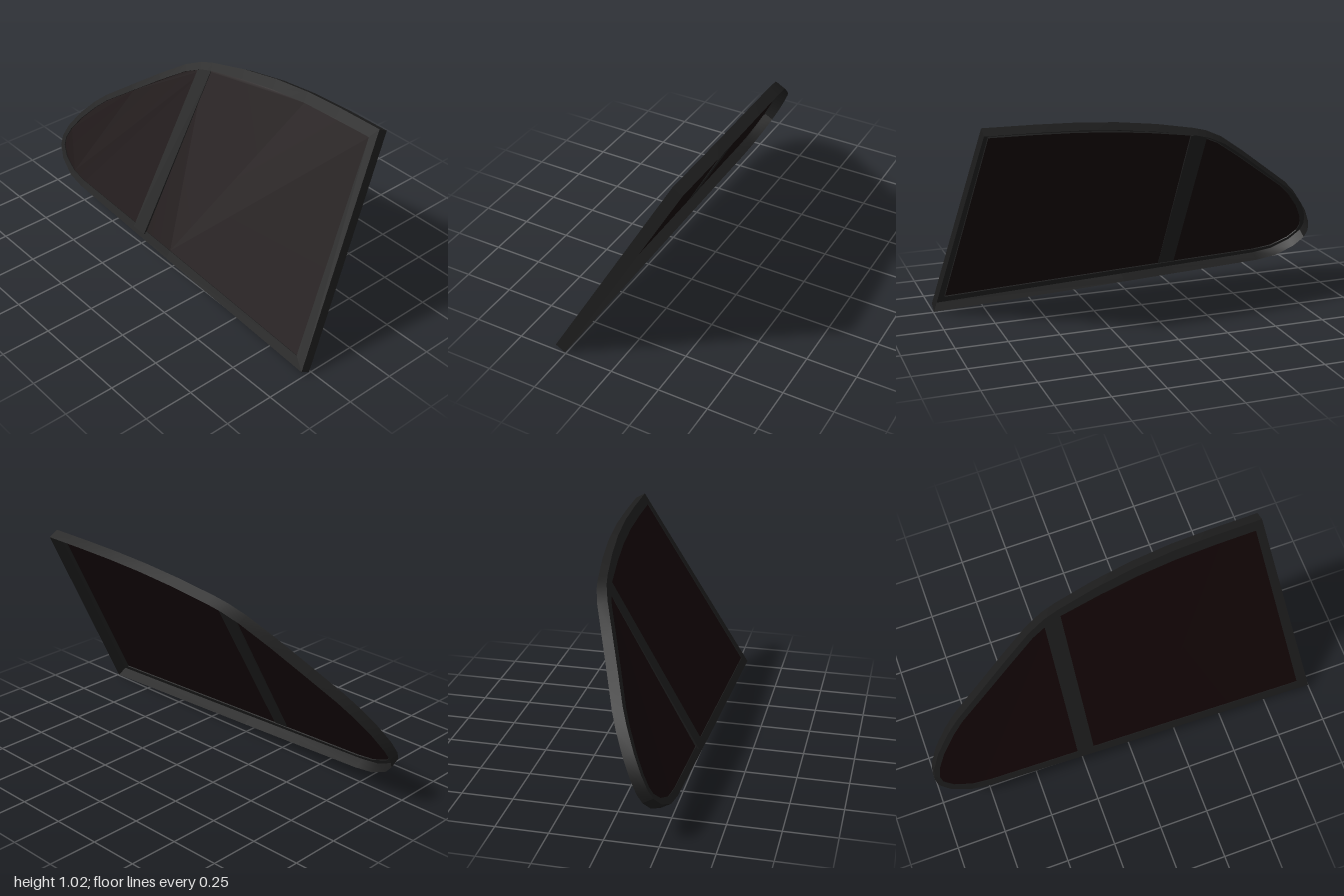
import * as THREE from 'three';
import { toCreasedNormals } from 'three/addons/utils/BufferGeometryUtils.js';

// Frame outline in the window plane: outer x, outer height, inner x, inner height
const OUTLINE = [
  [0.99, 0, 0.93, 0.05], [0.84, 1.139, 0.805, 1.085], [0.6, 1.136, 0.6, 1.082], [0.4, 1.128, 0.4, 1.074],
  [0.2, 1.108, 0.2, 1.055], [0, 1.073, 0.01, 1.025], [-0.2, 1.024, -0.19, 0.985],
  [-0.27, 1.0, -0.255, 0.965], [-0.36, 0.95, -0.345, 0.917], [-0.5, 0.84, -0.48, 0.812],
  [-0.65, 0.715, -0.63, 0.69], [-0.8, 0.59, -0.78, 0.568], [-0.865, 0.522, -0.842, 0.502],
  [-0.94, 0.42, -0.913, 0.407], [-0.985, 0.33, -0.957, 0.325], [-1, 0.265, -0.972, 0.265],
  [-0.99, 0.215, -0.963, 0.225], [-0.94, 0.157, -0.918, 0.178], [-0.845, 0.105, -0.83, 0.136],
  [-0.74, 0.087, -0.73, 0.122], [0, 0.047, 0, 0.092],
];
const HALF = 0.028;
const SPLIT = -0.235;

// The rim bulges forward, quickly near bottom and top and evenly between
const bow = (v) => 0.028 * (1 - (2 * v / 1.139 - 1) ** 4);

function buildGeometry(positions, index) {
  const g = new THREE.BufferGeometry();
  g.setAttribute('position', new THREE.Float32BufferAttribute(positions, 3));
  g.setIndex(index);
  return g;
}

// Open section carried around the outline: outer wall, front flange, short inner lip
function frameGeometry() {
  const positions = [], index = [], n = OUTLINE.length;
  OUTLINE.forEach(([x, v, ix, iv], i) => {
    const b = bow(v), j = (i + 1) % n;
    positions.push(x, v, b - HALF, x, v, b + HALF, ix, iv, b + HALF, ix, iv, b + HALF - 0.01);
    for (let k = 0; k < 3; k++) {
      index.push(i * 4 + k, j * 4 + k, j * 4 + k + 1, i * 4 + k, j * 4 + k + 1, i * 4 + k + 1);
    }
  });
  return toCreasedNormals(buildGeometry(positions, index), 0.5);
}

// One pane: inner outline on one side of the divider (side = 1 towards +x, -1 towards -x)
function paneGeometry(side) {
  const points = [], n = OUTLINE.length;
  const push = (x, v, rimV) => points.push([x, v, bow(rimV) + HALF - 0.004]);
  for (let i = 0; i < n; i++) {
    const [, rimV, x, v] = OUTLINE[i], [, rimV2, x2, v2] = OUTLINE[(i + 1) % n];
    if ((x - SPLIT) * side > 0) push(x, v, rimV);
    if ((x - SPLIT) * (x2 - SPLIT) < 0) {
      const t = (SPLIT - x) / (x2 - x);
      push(SPLIT, v + (v2 - v) * t, rimV + (rimV2 - rimV) * t);
    }
  }
  const outline = points.map(([x, v]) => new THREE.Vector2(x, v));
  const g = buildGeometry(points.flat(), THREE.ShapeUtils.triangulateShape(outline, []).flat());
  g.computeVertexNormals();
  return g;
}

export function createModel() {
  const group = new THREE.Group();
  group.name = 'sideWindow';
  const frameMat = new THREE.MeshStandardMaterial({ color: 0x1c1c1c, side: THREE.DoubleSide });
  const glassMat = new THREE.MeshStandardMaterial({ color: 0x120506, side: THREE.DoubleSide });

  // Everything sits in a plane leaning back
  const panel = new THREE.Group();
  panel.name = 'leaningPanel';
  panel.rotation.x = -0.514;
  panel.position.set(0.005, 0.016, 0.281);
  group.add(panel);

  const add = (name, geometry, material) => {
    const mesh = new THREE.Mesh(geometry, material);
    mesh.name = name;
    panel.add(mesh);
    return mesh;
  };

  add('frame', frameGeometry(), frameMat);
  add('mainPane', paneGeometry(1), glassMat);
  add('quarterPane', paneGeometry(-1), glassMat);

  // Flat divider over the joint between the panes, ends tucked into the rim
  const divider = add('dividerBar', new THREE.BoxGeometry(0.085, 0.9, 0.012), frameMat);
  divider.position.set(SPLIT, 0.535, HALF + 0.01);
  return group;
}
